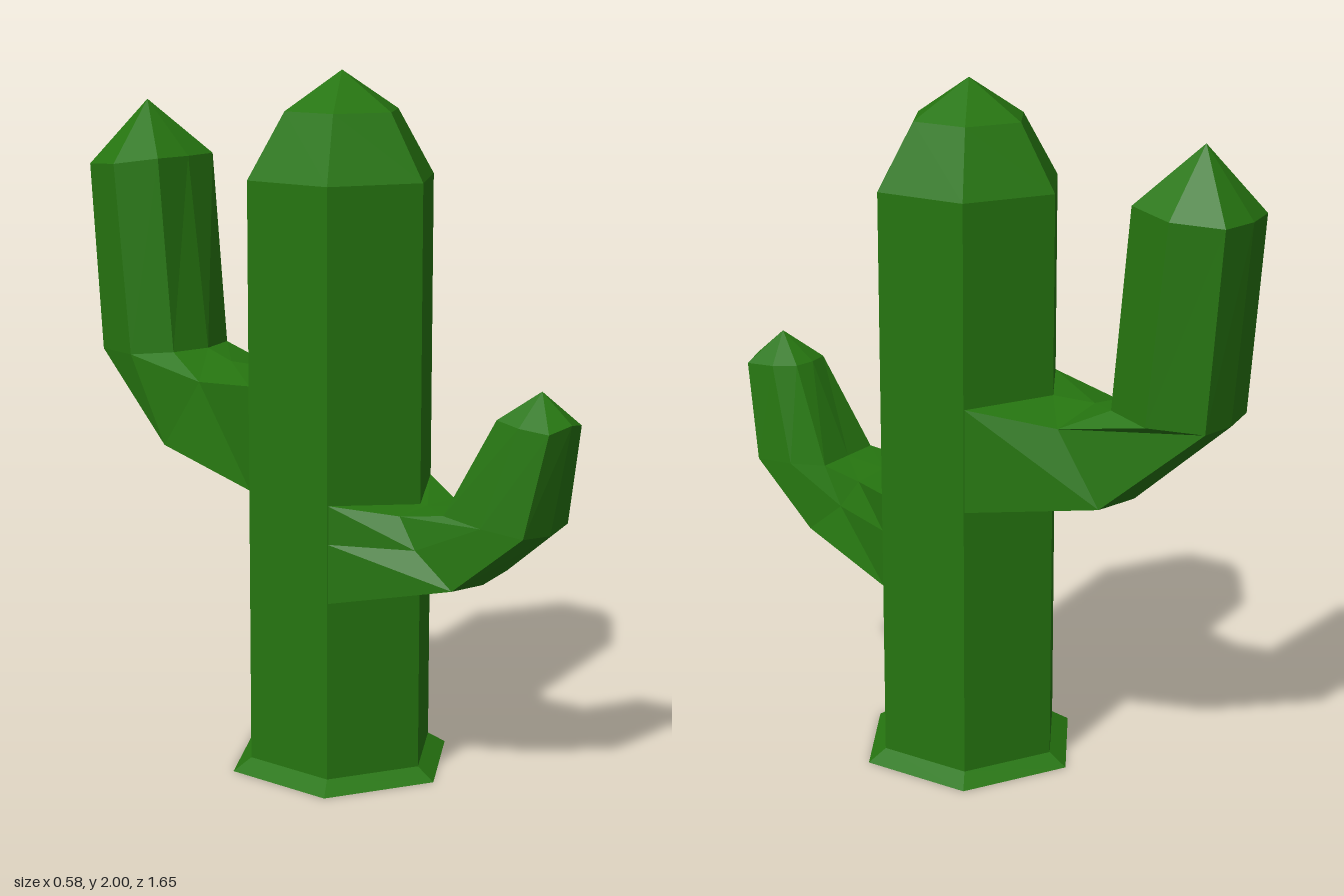
import * as THREE from 'three';

const cactusGreen = new THREE.MeshStandardMaterial({ color: 0x267510, flatShading: true, side: THREE.DoubleSide });
cactusGreen.name = 'cactusGreen';

// Each half ring runs from the outer middle round one side to the inner middle, as [x, y, z].
// It is mirrored in x to a full ring; rings are joined in turn and closed with a pointed tip.
function armGeometry(halfRings, tip, turn) {
  const rings = halfRings.map((half) => {
    const side = half.map(([x, y, z]) => [x * turn, y, z]);
    const mirrored = side.slice(1, -1).reverse().map(([x, y, z]) => [-x, y, z]);
    return [...side, ...mirrored];
  });
  const positions = [];
  const triangle = (...corners) => positions.push(...corners.flat());
  const n = rings[0].length;
  for (let i = 0; i < n; i++) {
    const j = (i + 1) % n;
    for (let r = 0; r < rings.length - 1; r++) {
      const a = rings[r], b = rings[r + 1];
      triangle(a[i], a[j], b[j]);
      triangle(a[i], b[j], b[i]);
    }
    const last = rings[rings.length - 1];
    triangle(last[i], last[j], tip);
  }
  const geometry = new THREE.BufferGeometry();
  geometry.setAttribute('position', new THREE.Float32BufferAttribute(positions, 3));
  geometry.computeVertexNormals();
  return geometry;
}

export function createModel() {
  const model = new THREE.Group();
  model.name = 'cactus';
  const add = (name, geometry) => {
    const mesh = new THREE.Mesh(geometry, cactusGreen);
    mesh.name = name;
    model.add(mesh);
    return mesh;
  };

  // Six-sided trunk, open below, with a flared foot and a domed top
  const profile = [[0.335, 0], [0.28, 0.035], [0.28, 1.705], [0.17, 1.89], [0, 2]];
  const trunk = add('trunk', new THREE.LatheGeometry(profile.map(([r, y]) => new THREE.Vector2(r, y)), 6));
  trunk.position.z = 0.055;

  // Tall arm at the back
  add('backArm', armGeometry([
    [[0, 0.83, -0.225], [0.24, 0.83, -0.085], [0.24, 1.13, -0.085], [0.24, 1.13, -0.085], [0, 1.135, -0.225]],
    [[0, 0.88, -0.49], [0.17, 0.895, -0.475], [0.165, 1.1, -0.34], [0.165, 1.1, -0.34], [0, 1.135, -0.36]],
    [[0, 1.14, -0.78], [0.12, 1.145, -0.765], [0.165, 1.15, -0.61], [0.12, 1.165, -0.48], [0, 1.165, -0.45]],
    [[0, 1.7, -0.825], [0.12, 1.7, -0.805], [0.165, 1.71, -0.665], [0.12, 1.73, -0.53], [0, 1.73, -0.52]],
  ], [0, 1.89, -0.68], -1));

  // Short arm at the front
  add('frontArm', armGeometry([
    [[0, 0.565, 0.335], [0.24, 0.55, 0.195], [0.24, 0.72, 0.195], [0.24, 0.83, 0.195], [0, 0.81, 0.335]],
    [[0, 0.615, 0.55], [0.135, 0.625, 0.54], [0.14, 0.72, 0.42], [0.13, 0.805, 0.36], [0, 0.81, 0.36]],
    [[0, 0.79, 0.765], [0.11, 0.8, 0.75], [0.12, 0.81, 0.62], [0.115, 0.825, 0.495], [0, 0.825, 0.495]],
    [[0, 1.1, 0.825], [0.08, 1.085, 0.805], [0.08, 1.09, 0.71], [0.065, 1.1, 0.63], [0, 1.1, 0.62]],
  ], [0, 1.18, 0.73], 1));

  return model;
}
